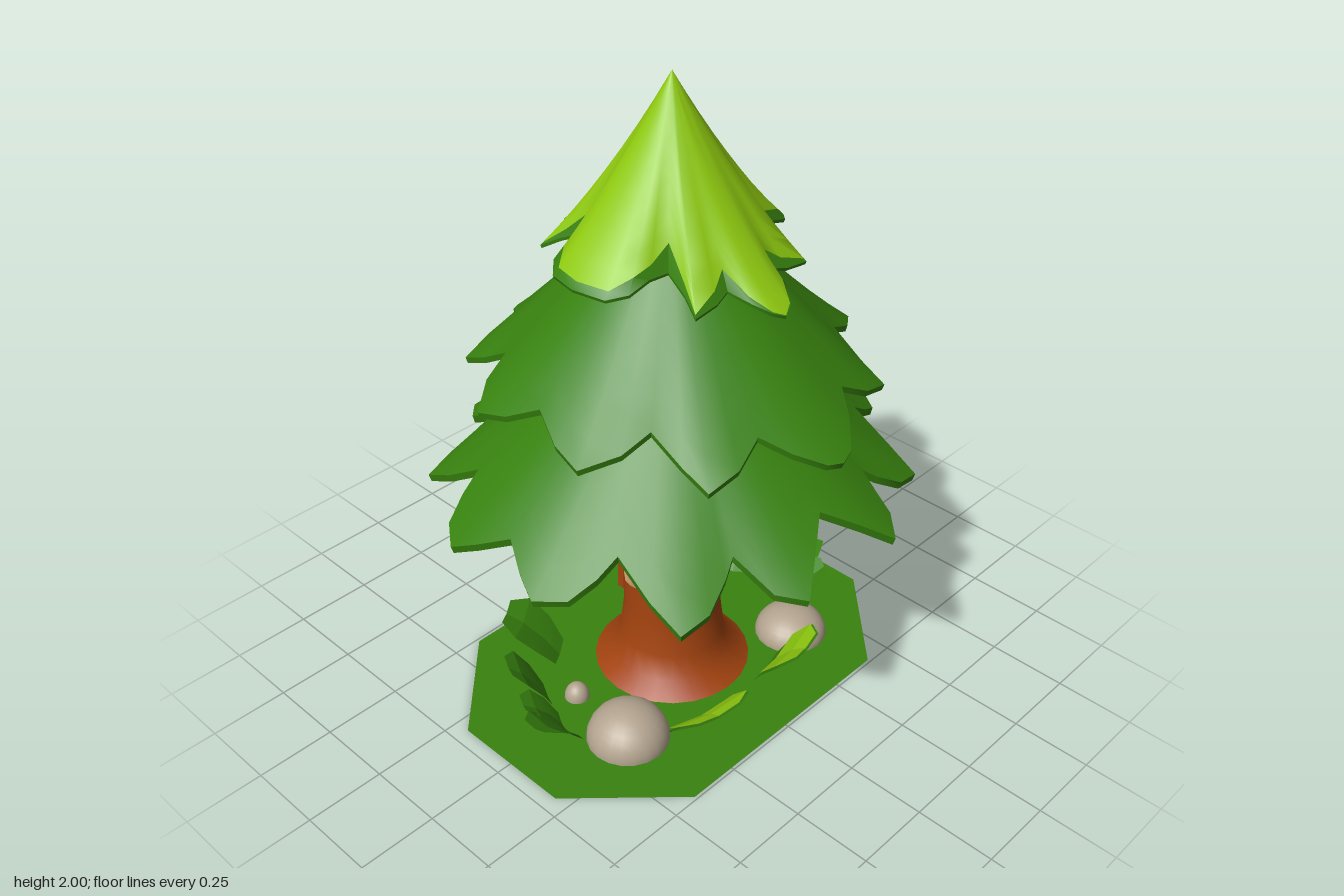
import * as THREE from 'three';
import { toCreasedNormals } from 'three/addons/utils/BufferGeometryUtils.js';

const mat = (name, color, side = THREE.FrontSide) => {
  const m = new THREE.MeshStandardMaterial({ color, side });
  m.name = name;
  return m;
};

// Surface from cross-sections: fn(row, column) gives [x, y, z]
function grid(rows, cols, closed, fn, crease = 0.7) {
  const pos = [], idx = [], n = closed ? cols : cols + 1;
  for (let i = 0; i <= rows; i++)
    for (let j = 0; j < n; j++) pos.push(...fn(i, j));
  for (let i = 0; i < rows; i++)
    for (let j = 0; j < cols; j++) {
      const k = (j + 1) % n;
      const a = i * n + j, b = i * n + k, c = a + n, d = b + n;
      idx.push(a, b, c, b, d, c);
    }
  const g = new THREE.BufferGeometry();
  g.setAttribute('position', new THREE.Float32BufferAttribute(pos, 3));
  g.setIndex(idx);
  return toCreasedNormals(g, crease);
}

// Mirrors a quarter outline, running from +x to +z, into a full ring
function mirrorRing(quarter) {
  const flip = (list, sx, sz) => list.map(([x, z, ...rest]) => [x * sx, z * sz, ...rest]).reverse();
  const half = [...quarter, ...flip(quarter, -1, 1).slice(1)];
  return [...half, ...flip(half, 1, -1).slice(1, -1)];
}

export function createModel() {
  const root = new THREE.Group();
  const green = mat('needleGreen', 0x38820f, THREE.DoubleSide);
  const lime = mat('limeGreen', 0x8fca10, THREE.DoubleSide);
  const bark = mat('bark', 0xa3430f);
  const wood = mat('cutWood', 0xcb9c6c, THREE.DoubleSide);
  const stone = mat('stone', 0xb3a48f);
  const add = (name, geo, m, parent = root) => {
    const mesh = new THREE.Mesh(geo, m);
    mesh.name = name;
    parent.add(mesh);
    return mesh;
  };

  // Ground sheet: a long octagon
  const plate = new THREE.Shape(mirrorRing([[0.7, 0.2], [0.41, 0.49]]
    .flatMap((p, i) => (i ? [p, [0, 0.49]] : [[0.7, 0], p]))
    ).map(([x, z]) => new THREE.Vector2(x, z)));
  add('ground', new THREE.ShapeGeometry(plate).rotateX(-Math.PI / 2), green);

  // Foliage tiers: smooth concave cones ending in a leafy hem.
  // Hem points are [x, z, y, share painted lime]
  const tiers = [
    { name: 'lowerFoliage', top: 1.42, rt: 0.735, yt: 0.735, bow: 0.23, shrink: 0, lift: 0.01, thick: 0.03, hem: [
      [0.64, 0, 0.82], [0.69, 0.09, 0.78], [0.72, 0.17, 0.745], [0.66, 0.25, 0.755], [0.58, 0.28, 0.8],
      [0.51, 0.29, 0.845], [0.52, 0.42, 0.765], [0.515, 0.53, 0.71], [0.42, 0.545, 0.735], [0.33, 0.52, 0.79],
      [0.28, 0.5, 0.83], [0.255, 0.63, 0.755], [0.19, 0.7, 0.735], [0.1, 0.64, 0.8], [0, 0.57, 0.865]] },
    { name: 'middleFoliage', top: 1.75, rt: 0.64, yt: 1.07, bow: 0.22, shrink: 0.04, lift: 0.03, thick: 0.025, hem: [
      [0.51, 0, 1.185], [0.55, 0.1, 1.135], [0.565, 0.2, 1.11], [0.47, 0.27, 1.145], [0.38, 0.29, 1.185],
      [0.375, 0.4, 1.12], [0.37, 0.49, 1.08], [0.27, 0.505, 1.11], [0.175, 0.485, 1.16], [0.12, 0.56, 1.115],
      [0.05, 0.625, 1.075], [0, 0.64, 1.065]] },
    { name: 'topFoliage', top: 2, rt: 0.42, yt: 1.43, bow: 0.34, shrink: 0.04, lift: 0.07, thick: 0.014, hem: [
      [0.38, 0, 1.5, 0.95], [0.355, 0.1, 1.495, 0.95], [0.31, 0.145, 1.51, 0.91], [0.24, 0.15, 1.53, 0.93],
      [0.185, 0.165, 1.535, 0.87], [0.2, 0.24, 1.5, 0.94], [0.222, 0.3, 1.465, 0.98], [0.14, 0.3, 1.475, 0.94],
      [0.09, 0.29, 1.49, 0.9], [0.07, 0.36, 1.47, 0.96], [0.035, 0.405, 1.445, 0.99], [0, 0.42, 1.43, 0.995]] },
  ];
  for (const o of tiers) {
    const g = new THREE.Group();
    g.name = o.name;
    root.add(g);
    const hem = mirrorRing(o.hem), cols = hem.length, rows = 8, isTop = o.name === 'topFoliage';
    const at = (t, j, drop = 0) => {
      const [x, z, y] = hem[j], r = Math.hypot(x, z), side = (x / r) ** 2;
      const rTip = o.rt - o.shrink * side, yTip = o.yt + o.lift * side;
      const coneY = (q) => o.top - (o.top - yTip) * (q + o.bow * q * (1 - q));
      return [x * t, coneY((r * t) / rTip) + (y - coneY(r / rTip)) * t ** 3 - drop * t, z * t];
    };
    const paint = (j) => (isTop ? hem[j][3] : 1);
    add('needles', grid(rows, cols, true, (i, j) => at((i / rows) * paint(j), j), 1.2), isTop ? lime : green, g);
    if (isTop)
      add('greenFringe', grid(1, cols, true, (i, j) => at(i ? 1 : paint(j), j)), green, g);
    add('rim', grid(1, cols, true, (i, j) => at(1 - 0.01 * i, j, i * o.thick)), green, g);
    add('underside', grid(rows, cols, true, (i, j) => at(0.99 * (1 - i / rows), j, o.thick), 1.2), green, g);
  }

  // Stump: flared foot and a broken rim
  const rim = [0.37, 0.38, 0.38, 0.37, 0.36, 0.32, 0.29, 0.28, 0.33, 0.35, 0.33, 0.35,
    0.35, 0.34, 0.33, 0.34, 0.35, 0.35, 0.34, 0.34, 0.36, 0.37, 0.36, 0.38];
  const ring = (r, y, j) => {
    const a = (j / 24) * Math.PI * 2;
    return [Math.cos(a) * r, y, Math.sin(a) * r];
  };
  const foot = [[0.153, 0], [0.153, 0.24], [0.167, 0.12], [0.195, 0.045], [0.25, 0.004]];
  add('stump', grid(4, 24, true, (i, j) => ring(foot[i][0], i ? foot[i][1] : rim[j], j)), bark);
  const hollow = [[0, 0.26], [0.1, 0.27], [0.115, 0], [0.153, 0]];
  add('brokenWood', grid(3, 24, true, (i, j) => ring(hollow[i][0], i < 2 ? hollow[i][1] : rim[j] - (i === 2 ? 0.012 : 0), j)), wood);

  // Tall splinter at the back with a lip leaning inwards: [y, centre z, half width, half depth]
  const splinter = [[0.485, -0.105, 0, 0], [0.505, -0.105, 0.06, 0.052], [0.47, -0.108, 0.066, 0.05],
    [0.42, -0.126, 0.058, 0.032], [0.26, -0.128, 0.062, 0.03]];
  add('splinter', grid(4, 8, true, (i, j) => {
    const [y, z, w, d] = splinter[i], a = ((j + 0.5) / 8) * Math.PI * 2;
    return [-0.043 + Math.cos(a) * w * 1.08, y, z + Math.sin(a) * d * 1.08];
  }), bark);

  // Snapped upper trunk hanging from the foliage
  const path = new THREE.CatmullRomCurve3([[0.133, 0.498, 0.02], [0.19, 0.56, 0.033], [0.265, 0.635, 0.018],
    [0.29, 0.73, -0.005], [0.265, 0.85, -0.04], [0.16, 1.0, -0.04], [0.05, 1.18, 0]]
    .map((p) => new THREE.Vector3(...p)));
  add('upperTrunk', new THREE.TubeGeometry(path, 24, 0.053, 10), bark);
  const cap = add('brokenTrunkEnd', new THREE.CircleGeometry(0.053, 10), bark);
  cap.position.copy(path.getPoint(0));
  cap.lookAt(cap.position.clone().sub(path.getTangent(0)));

  // Stones
  [[-0.37, 0.17, 0.13, 0.112], [0.35, 0.21, 0.118, 0.088], [-0.36, -0.07, 0.04, 0.05]].forEach(([x, z, r, h]) => {
    const s = add('stone', new THREE.SphereGeometry(1, 20, 8, 0, Math.PI * 2, 0, Math.PI / 2), stone);
    s.scale.set(r, h, r);
    s.position.set(x, 0, z);
  });

  // Broad folded leaves leaning outwards: [width, reach, height] factors
  const leafRows = [[0.6, 0, 0], [0.9, 0.3, 0.42], [1, 0.68, 0.8], [0.55, 1, 1]];
  const leafGeo = (w, reach, h, first = 0) => grid(3 - first, 2, false, (i, j) => {
    const [k, out, up] = leafRows[i + first], u = j - 1;
    return [u * k * w * 0.5, up * h + (u ? 0.02 * k : 0), out * reach];
  }, 0.2);
  function leaf(x, z, deg, w, reach, h, twoTone) {
    const g = new THREE.Group();
    g.name = 'leaf';
    g.position.set(x, 0.002, z);
    g.rotation.y = (deg * Math.PI) / 180; // 0 leans to the front, 90 to +x
    add('blade', leafGeo(w, reach, h), green, g);
    if (twoTone) {
      const inner = add('limeTip', leafGeo(w * 0.95, reach * 0.98, h * 0.98, 1), lime, g);
      inner.position.set(0, 0.006, -0.004);
    }
    root.add(g);
  }
  [
    [-0.19, 0.28, -10, 0.29, 0.13, 0.122, true],
    [0.14, 0.28, 12, 0.25, 0.15, 0.16, true],
    [-0.49, 0.05, -85, 0.15, 0.16, 0.15],
    [-0.48, -0.01, -115, 0.13, 0.12, 0.12],
    [-0.43, -0.13, -115, 0.17, 0.12, 0.16],
    [-0.27, -0.25, -145, 0.2, 0.17, 0.15],
    [0.26, -0.23, 150, 0.2, 0.21, 0.14],
    [0.36, -0.19, 130, 0.15, 0.18, 0.16],
    [0.44, -0.13, 110, 0.15, 0.13, 0.14],
    [0.48, 0.05, 82, 0.14, 0.16, 0.145],
    [0.45, 0.12, 60, 0.13, 0.12, 0.13],
  ].forEach((p) => leaf(...p));

  return root;
}
